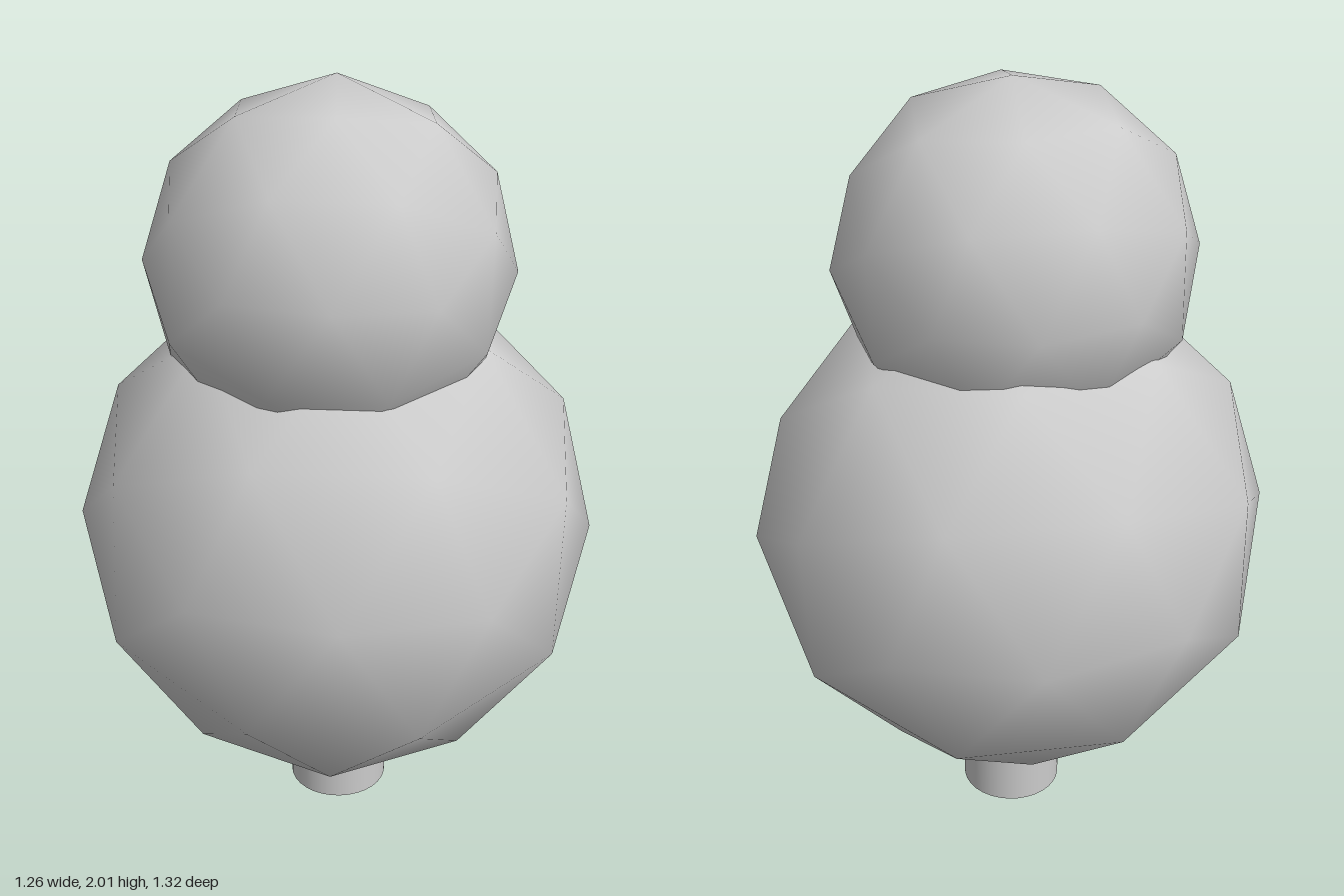
import * as THREE from 'three';

const material = new THREE.MeshStandardMaterial({ color: 0xcccccc });

// Coarse, smooth-shaded ball, turned so a facet faces each side
function foliageGeometry() {
  const geometry = new THREE.IcosahedronGeometry(0.675, 1);
  const facet = new THREE.Vector3(1, 1, 1).normalize();
  const turn = new THREE.Quaternion().setFromUnitVectors(facet, new THREE.Vector3(1, 0, 0));
  return geometry.applyQuaternion(turn).rotateX(0.3);
}

export function createModel() {
  const tree = new THREE.Group();
  tree.name = 'tree';

  function add(name, geometry, position, scale = 1) {
    const mesh = new THREE.Mesh(geometry, material);
    mesh.name = name;
    mesh.position.set(...position);
    mesh.scale.setScalar(scale);
    tree.add(mesh);
  }

  // Trunk, running up into the crown
  const trunkHeight = 0.4;
  add('trunk', new THREE.CylinderGeometry(0.134, 0.134, trunkHeight, 32), [-0.005, trunkHeight / 2, -0.025]);

  // Two overlapping balls of foliage, the upper one smaller
  const foliage = foliageGeometry();
  add('lowerFoliage', foliage, [0, 0.838, 0]);
  add('upperFoliage', foliage, [-0.005, 1.552, 0.03], 0.68);

  return tree;
}
